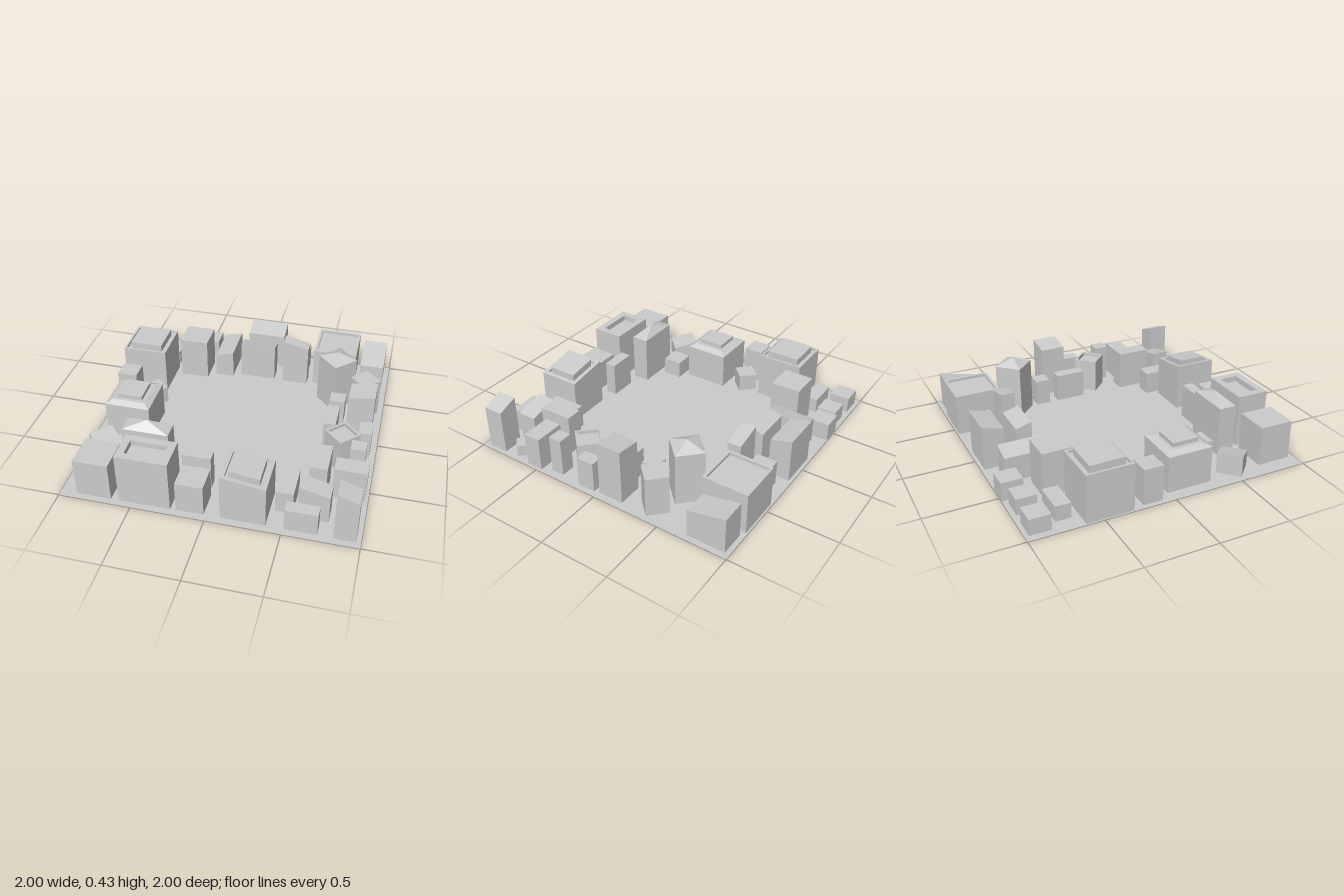
import * as THREE from 'three';

const material = new THREE.MeshStandardMaterial({ color: 0xcccccc, flatShading: true });

function addMesh(parent, geometry, name) {
  const mesh = new THREE.Mesh(geometry, material);
  mesh.name = name;
  parent.add(mesh);
  return mesh;
}

// Tilts every vertex above the ground by the slope of the roof plane
function tilt(geometry, tx, tz) {
  const p = geometry.attributes.position;
  for (let i = 0; i < p.count; i++) {
    if (p.getY(i) > 0.001) p.setY(i, p.getY(i) + tx * p.getX(i) + tz * p.getZ(i));
  }
  geometry.computeVertexNormals();
  return geometry;
}

function block(w, d, y0, y1, tx = 0, tz = 0) {
  return tilt(new THREE.BoxGeometry(w, y1 - y0, d).translate(0, (y0 + y1) / 2, 0), tx, tz);
}

// Rectangular frame with an open middle
function frame(w, d, iw, id, y0, y1, tx = 0, tz = 0) {
  const rect = (path, a, b) => path.moveTo(-a / 2, -b / 2).lineTo(a / 2, -b / 2)
    .lineTo(a / 2, b / 2).lineTo(-a / 2, b / 2).closePath();
  const shape = rect(new THREE.Shape(), w, d);
  shape.holes.push(rect(new THREE.Path(), iw, id));
  const g = new THREE.ExtrudeGeometry(shape, { depth: y1 - y0, bevelEnabled: false });
  return tilt(g.rotateX(-Math.PI / 2).translate(0, y0, 0), tx, tz);
}

// Four-sided tapering roof; k is the top size relative to the bottom (0 = pyramid)
function taper(w, d, y0, y1, k) {
  const r = Math.SQRT1_2;
  return new THREE.CylinderGeometry(r * k, r, y1 - y0, 4, 1)
    .rotateY(Math.PI / 4).scale(w, 1, d).translate(0, (y0 + y1) / 2, 0);
}

// Plain blocks: x0, x1, z0, z1, mean height, roof slope in x, roof slope in z
const blocks = [
  // back row
  [-0.953, -0.809, -0.972, -0.827, 0.115], [-0.723, -0.584, -0.967, -0.827, 0.115],
  [-0.541, -0.396, -0.999, -0.849, 0.135], [-0.889, -0.675, -0.779, -0.672, 0.11],
  [-0.616, -0.402, -0.747, -0.533, 0.32], [-0.348, -0.209, -0.902, -0.597, 0.2, 0.25],
  [-0.129, 0.155, -0.977, -0.822, 0.3, 0, -0.25], [-0.15, 0.118, -0.747, -0.635, 0.28, 0, 0.3],
  [0.22, 0.364, -0.913, -0.769, 0.18], [0.187, 0.38, -0.726, -0.629, 0.342, -0.23],
  [0.782, 0.959, -0.967, -0.694, 0.231, 0, -0.22],
  // left side
  [0.616, 0.728, -0.303, -0.195, 0.195], [0.766, 0.948, -0.19, -0.008, 0.393, 0.14],
  [0.616, 0.702, -0.126, 0.094, 0.21], [0.868, 0.959, 0.029, 0.158, 0.225],
  [0.841, 0.943, 0.308, 0.404, 0.278], [0.611, 0.728, 0.42, 0.661, 0.293],
  [0.761, 0.98, 0.469, 0.592, 0.246],
  // front row
  [0.423, 0.541, 0.565, 0.806, 0.17], [0.573, 0.777, 0.699, 0.828, 0.235, -0.25],
  [0.825, 0.969, 0.811, 0.956, 0.347, -0.37], [0.509, 0.723, 0.865, 0.951, 0.166],
  [-0.204, -0.016, 0.763, 0.951, 0.23], [-0.23, -0.032, 0.619, 0.699, 0.255],
  [-0.889, -0.648, 0.715, 0.956, 0.283],
  // right side
  [-0.659, -0.514, 0.345, 0.485, 0.13], [-0.969, -0.825, -0.217, -0.078, 0.257],
];

// Blocks turned by 45 degrees: x, z, half diagonal, height, slope in x, slope in z
const turned = [
  [0.852, -0.388, 0.11, 0.293], [0.894, 0.704, 0.07, 0.085],
  [-0.841, 0.522, 0.123, 0.133, 0, -0.25], [-0.707, -0.153, 0.095, 0.13],
];

export function createModel() {
  const model = new THREE.Group();
  const at = (name, x, z, turn = 0) => {
    const g = new THREE.Group();
    g.name = name;
    g.position.set(x, 0, z);
    g.rotation.y = turn;
    model.add(g);
    return g;
  };

  addMesh(model, new THREE.BoxGeometry(2, 0.002, 2).translate(0, 0.001, 0), 'ground');

  for (const [x0, x1, z0, z1, h, tx, tz] of blocks) {
    const b = addMesh(model, block(x1 - x0, z1 - z0, 0, h, tx, tz), 'block');
    b.position.set((x0 + x1) / 2, 0, (z0 + z1) / 2);
  }
  for (const [x, z, r, h, tx = 0, tz = 0] of turned) {
    const b = addMesh(model, block(r * Math.SQRT2, r * Math.SQRT2, 0, h, tx, tz), 'turnedBlock');
    b.position.set(x, 0, z);
    b.rotation.y = Math.PI / 4;
  }

  // Buildings with a parapet around a sunken roof, some with a rooftop box
  // name, x, z, w, d, inner w, inner d, height, sink, slope, box size, box top, turn
  const parapets = [
    ['courtBuilding', 0.584, -0.825, 0.322, 0.327, 0.28, 0.285, 0.3, 0.02],
    ['recessedBuilding', -0.418, 0.841, 0.354, 0.23, 0.252, 0.128, 0.38, 0.04],
    ['turnedParapetBuilding', 0.766, 0.212, 0.174, 0.174, 0.143, 0.143, 0.252, 0.025, 0, 0, 0, Math.PI / 4],
    ['cornerTower', -0.828, -0.456, 0.327, 0.327, 0.295, 0.295, 0.342, 0.02, 0, 0.241, 0.374],
    ['slopedTower', 0.241, 0.801, 0.3, 0.3, 0.246, 0.246, 0.327, 0.02, -0.15, 0.204, 0.356],
  ];
  for (const [name, x, z, w, d, iw, id, h, sink, slope = 0, box = 0, top = 0, turn = 0] of parapets) {
    const g = at(name, x, z, turn);
    addMesh(g, block(w, d, 0, h - sink, slope), 'walls');
    addMesh(g, frame(w, d, iw, id, h - sink, h, slope), 'parapet');
    if (box) addMesh(g, block(box, box, h - sink, top, slope), 'rooftopBox');
  }

  // Building with a bevelled roof edge and a rooftop box
  const bevelled = at('bevelledBuilding', -0.755, 0.148);
  addMesh(bevelled, block(0.321, 0.321, 0, 0.262), 'walls');
  addMesh(bevelled, taper(0.321, 0.321, 0.262, 0.285, 0.74), 'bevelledRoof');
  addMesh(bevelled, block(0.182, 0.187, 0.285, 0.315), 'rooftopBox');

  // Pyramid roofs
  const pyramids = [
    ['turnedPyramidBuilding', 0.627, -0.479, 0.197, 0.197, 0.385, 0.433, Math.PI / 4],
    ['hippedBuilding', -0.493, 0.595, 0.321, 0.123, 0.358, 0.417, 0],
  ];
  for (const [name, x, z, w, d, eaves, peak, turn] of pyramids) {
    const g = at(name, x, z, turn);
    addMesh(g, block(w, d, 0, eaves), 'walls');
    addMesh(g, taper(w, d, eaves, peak, 0), 'pyramidRoof');
  }
  return model;
}
